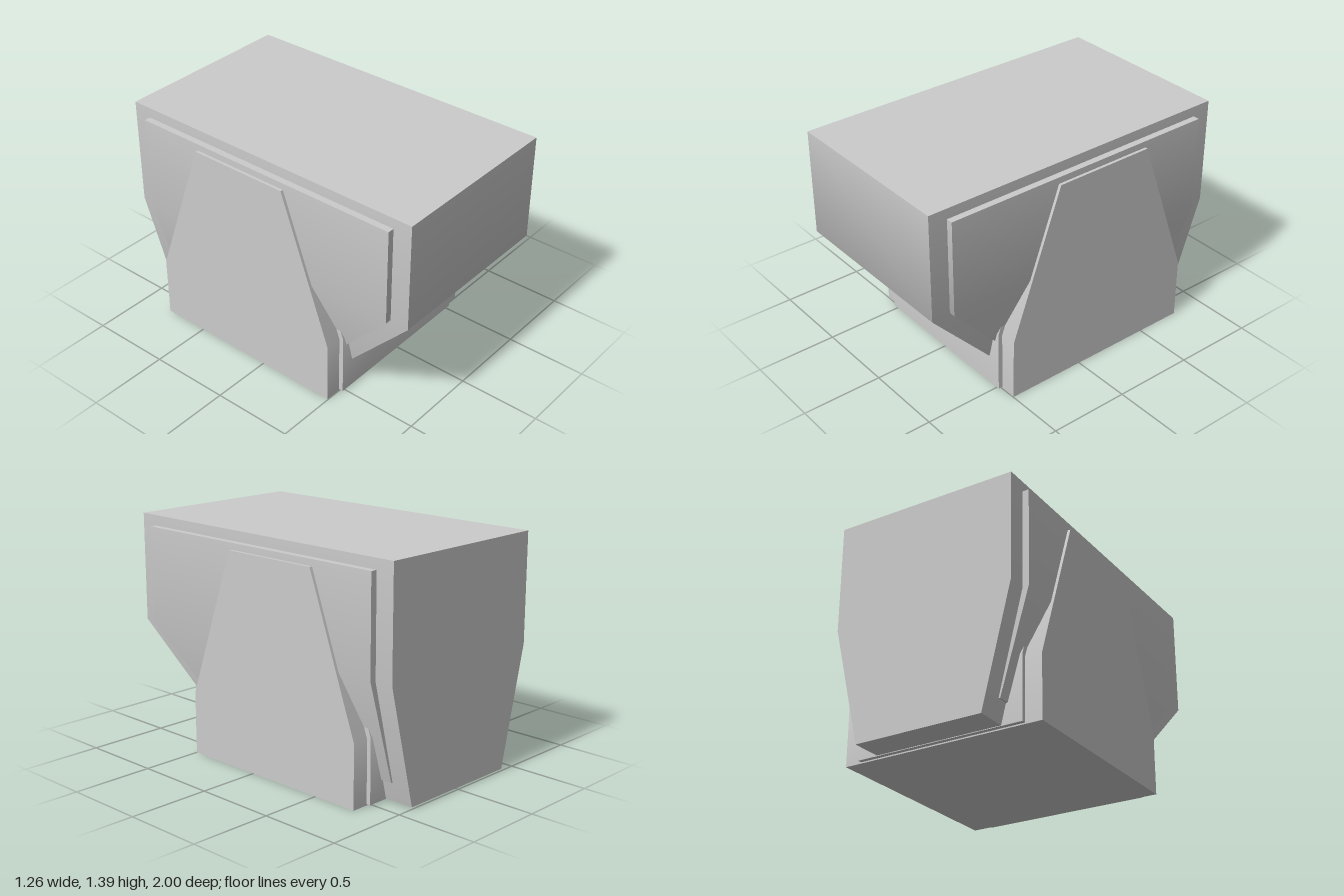
import * as THREE from 'three';
import { toCreasedNormals } from 'three/addons/utils/BufferGeometryUtils.js';
import { ConvexGeometry } from 'three/addons/geometries/ConvexGeometry.js';

const CREASE = 0.8;
const material = new THREE.MeshStandardMaterial({ color: 0xcccccc });

function part(name, geometry) {
  const mesh = new THREE.Mesh(toCreasedNormals(geometry, CREASE), material);
  mesh.name = name;
  return mesh;
}

// Block tapering downwards; each level is [y, half width, front z], back is flat
function hopper(levels, backZ) {
  const points = [];
  for (const [y, halfWidth, frontZ] of levels)
    for (const x of [-halfWidth, halfWidth])
      points.push(new THREE.Vector3(x, y, frontZ), new THREE.Vector3(x, y, backZ));
  return new ConvexGeometry(points);
}

// Side profile given as [z, y], extruded across the width
function slab(profile, halfWidth) {
  const shape = new THREE.Shape(profile.map(([z, y]) => new THREE.Vector2(z, y)));
  return new THREE.ExtrudeGeometry(shape, { depth: halfWidth * 2, bevelEnabled: false })
    .translate(0, 0, -halfWidth)
    .rotateY(-Math.PI / 2);
}

export function createModel() {
  const model = new THREE.Group();
  model.name = 'hopperOnStand';

  // Main container
  model.add(part('body', hopper([
    [1.388, 0.57, 1], [0.73, 0.57, 1], [0.012, 0.397, 0.36],
  ], -1)));

  // Raised panels on both sides of the container
  model.add(part('sidePanels', hopper([
    [1.325, 0.61, 0.885], [0.74, 0.61, 0.885], [0.13, 0.436, 0.342],
  ], -0.885)));

  // Outer stand with tapered uprights
  model.add(part('stand', slab([
    [0.497, 0], [0.497, 0.38], [0.172, 1.285],
    [-0.463, 1.285], [-0.788, 0.38], [-0.788, 0],
  ], 0.628)));

  // Narrower core that sticks out in front of and behind the stand
  model.add(part('standCore', slab([
    [0.524, 0.008], [0.524, 0.39], [0.21, 1.265],
    [-0.5, 1.265], [-0.814, 0.39], [-0.814, 0.008],
  ], 0.525)));

  return model;
}
